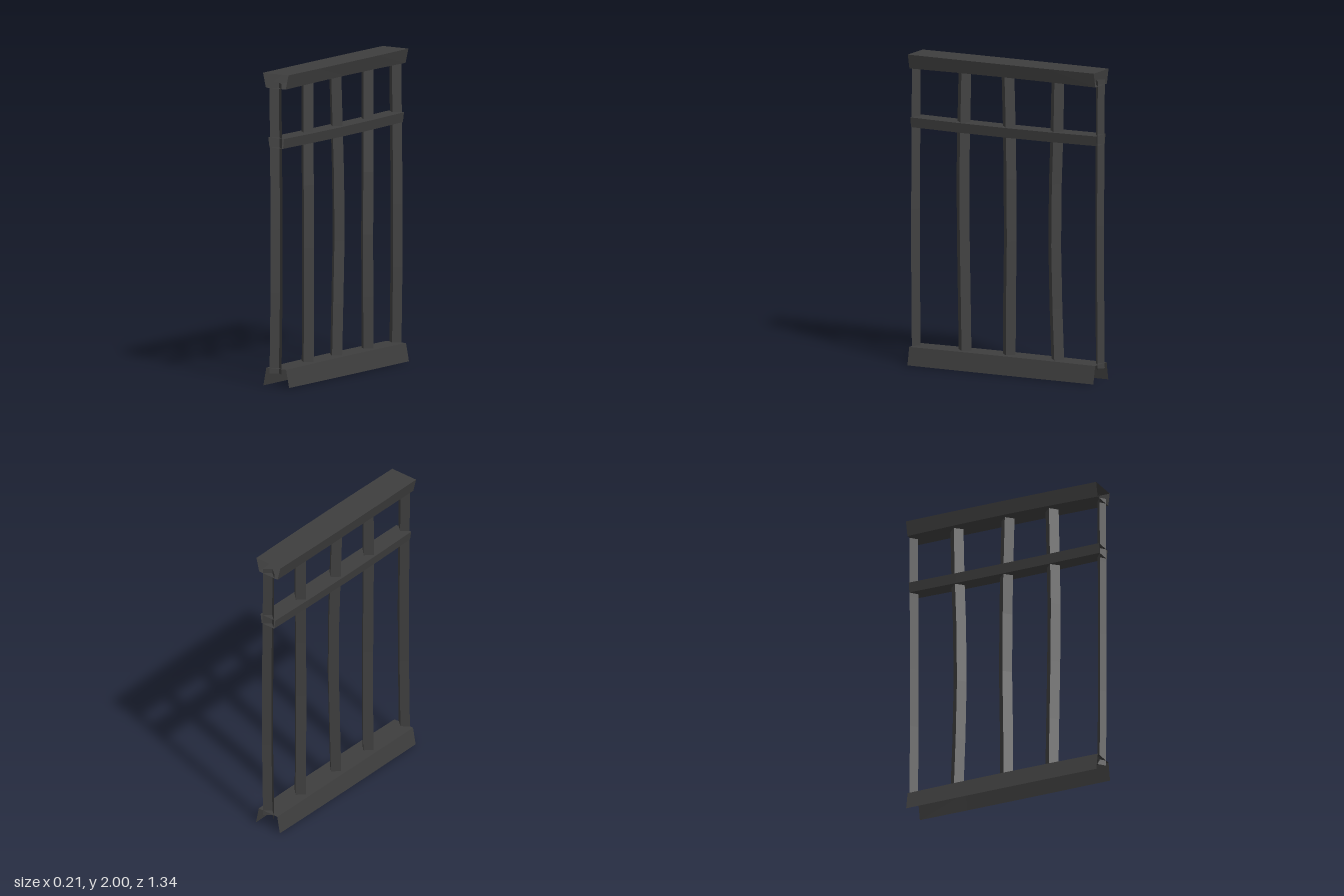
import * as THREE from 'three';

const darkIron = new THREE.MeshStandardMaterial({ color: 0x3e3e3e, side: THREE.DoubleSide, flatShading: true });
darkIron.name = 'darkIron';

// Skin a list of cross-sections (each a list of [x, y, z]); optionally close the loop and cap the ends
function loft(name, rings, closed = true, capped = false) {
  const n = rings[0].length;
  const index = [];
  const sides = closed ? n : n - 1;
  for (let r = 0; r < rings.length - 1; r++) {
    for (let i = 0; i < sides; i++) {
      const a = r * n + i, b = r * n + (i + 1) % n;
      index.push(a, b, b + n, a, b + n, a + n);
    }
  }
  if (capped) {
    const last = (rings.length - 1) * n;
    for (let i = 1; i < n - 1; i++) {
      index.push(0, i + 1, i, last, last + i, last + i + 1);
    }
  }
  const indexed = new THREE.BufferGeometry();
  indexed.setAttribute('position', new THREE.Float32BufferAttribute(rings.flat(2), 3));
  indexed.setIndex(index);
  const geometry = indexed.toNonIndexed();
  geometry.computeVertexNormals();
  const mesh = new THREE.Mesh(geometry, darkIron);
  mesh.name = name;
  return mesh;
}

// Rail running along z: outline of [x, y] corners, bulging sideways and vertically at mid-length
function rail(name, outline, bulge, lift, closed) {
  const rings = [-0.67, -0.335, 0, 0.335, 0.67].map((z) => {
    const k = 1 - (z / 0.67) ** 2;
    return outline.map(([x, y]) => [x + Math.sign(x) * bulge * k, y + lift(y) * k, z]);
  });
  return loft(name, rings, closed);
}

// Upright diamond bar; stations are [y, x centre, z centre]
function bar(name, stations) {
  const r = 0.046;
  const rings = stations.map(([y, x, z]) => [[x, y, z + r], [x + r, y, z], [x, y, z - r], [x - r, y, z]]);
  return loft(name, rings, true, true);
}

// Half bar at each end: a V with its ridge pointing inward
function endPost(name, side) {
  const stations = [[0.08, -0.004], [0.6, 0.004], [1.0, 0.005], [1.5, 0], [1.94, -0.005]];
  const rings = stations.map(([y, x]) => [
    [x - side * 0.046, y, side * 0.67],
    [x, y, side * 0.632],
    [x + side * 0.046, y, side * 0.67],
  ]);
  return loft(name, rings, false);
}

export function createModel() {
  const group = new THREE.Group();
  group.name = 'barredPanel';

  // Hollow rails with open ends; the bottom one is also open underneath
  group.add(rail('topRail',
    [[-0.078, 1.907], [0.074, 1.907], [0.096, 2], [-0.1, 2]],
    0.005, (y) => (y < 1.95 ? 0.006 : 0), true));
  group.add(rail('middleRail',
    [[-0.05, 1.526], [0.053, 1.526], [0.062, 1.59], [-0.06, 1.59]],
    0.003, () => -0.005, true));
  group.add(rail('bottomRail',
    [[0.1, 0], [0.077, 0.115], [-0.075, 0.115], [-0.097, 0]],
    0.003, (y) => (y > 0.05 ? 0.003 : 0), false));

  // Three slightly bent bars: z centres from bottom to top
  const heights = [0.08, 0.45, 0.85, 1.25, 1.55, 1.94];
  const leans = [-0.004, 0.002, 0.006, 0.005, 0, -0.004];
  const bends = [
    ['frontBar', [0.311, 0.314, 0.319, 0.322, 0.319, 0.312]],
    ['centreBar', [-0.007, -0.012, -0.02, -0.017, -0.01, 0.003]],
    ['backBar', [-0.358, -0.347, -0.34, -0.344, -0.352, -0.358]],
  ];
  for (const [name, zs] of bends) {
    group.add(bar(name, heights.map((y, i) => [y, leans[i], zs[i]])));
  }

  group.add(endPost('frontPost', 1), endPost('backPost', -1));
  return group;
}
